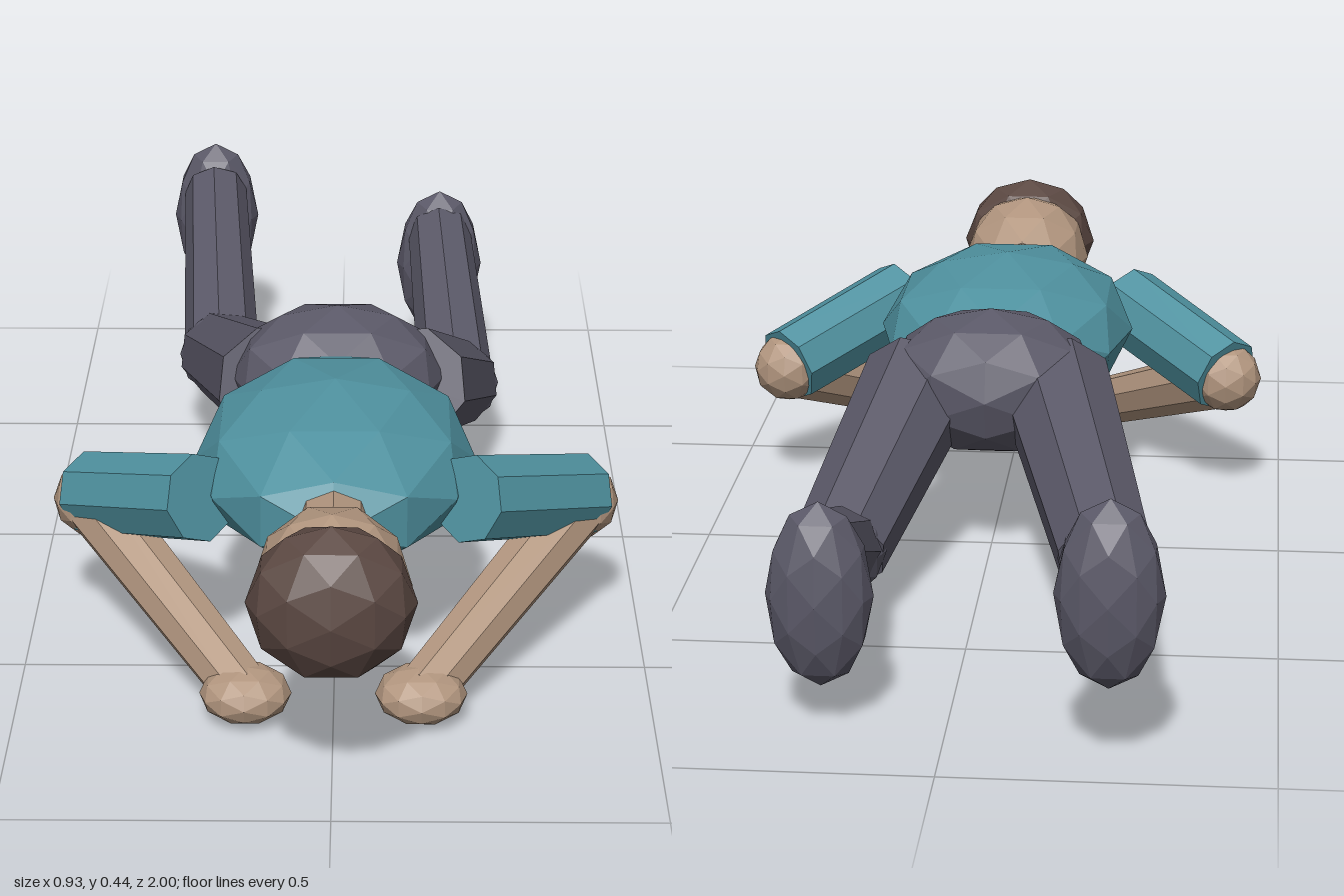
import * as THREE from 'three';

const makeMaterial = (name, color) => {
  const m = new THREE.MeshStandardMaterial({ color, flatShading: true });
  m.name = name;
  return m;
};

export function createModel() {
  const model = new THREE.Group();
  model.name = 'lyingFigure';
  const skin = makeMaterial('skin', 0xb2967f);
  const shirt = makeMaterial('shirt teal', 0x4f919f);
  const trousers = makeMaterial('trousers grey', 0x5a5867);
  const hairBrown = makeMaterial('hair brown', 0x5b4842);

  // Faceted ellipsoid from its centre and three radii
  const blob = (name, material, centre, radii) => {
    const mesh = new THREE.Mesh(new THREE.IcosahedronGeometry(1, 1), material);
    mesh.name = name;
    mesh.position.set(...centre);
    mesh.scale.set(...radii);
    model.add(mesh);
  };

  // Eight-sided tapered limb between two points
  const limb = (name, material, from, to, r0, r1) => {
    const a = new THREE.Vector3(...from);
    const b = new THREE.Vector3(...to);
    const dir = b.clone().sub(a);
    const mesh = new THREE.Mesh(new THREE.CylinderGeometry(r1, r0, dir.length(), 8), material);
    mesh.name = name;
    mesh.position.copy(a).add(b).multiplyScalar(0.5);
    mesh.quaternion.setFromUnitVectors(new THREE.Vector3(0, 1, 0), dir.normalize());
    model.add(mesh);
  };

  // Body and head, face down with the crown towards +z
  blob('torso', shirt, [0, 0.298, 0.34], [0.228, 0.139, 0.31]);
  blob('pelvis', trousers, [0, 0.302, -0.01], [0.185, 0.128, 0.14]);
  limb('neck', skin, [0, 0.3, 0.55], [0, 0.3, 0.75], 0.06, 0.06);
  blob('head', skin, [0, 0.302, 0.825], [0.12, 0.116, 0.15]);
  blob('hair', hairBrown, [0, 0.313, 0.905], [0.127, 0.122, 0.095]);

  // Arms, mirrored
  for (const [side, s] of [['left', 1], ['right', -1]]) {
    const elbow = [s * 0.4, 0.216, 0.32];
    const hand = [s * 0.137, 0.046, 0.68];
    limb(side + 'UpperArm', shirt, [s * 0.21, 0.3, 0.505], [s * 0.4, 0.222, 0.312], 0.072, 0.07);
    blob(side + 'Elbow', skin, elbow, [0.063, 0.063, 0.063]);
    limb(side + 'Forearm', skin, elbow, hand, 0.055, 0.045);
    blob(side + 'Hand', skin, hand, [0.072, 0.045, 0.066]);
  }

  // Legs, bent differently on each side
  const legs = [
    ['left', [0.125, 0.29, 0], [0.215, 0.13, -0.4], [0.19, 0.28, -0.81], [0.19, 0.212, -0.822]],
    ['right', [-0.11, 0.29, 0], [-0.222, 0.155, -0.475], [-0.25, 0.33, -0.91], [-0.25, 0.27, -0.938]],
  ];
  for (const [side, hip, knee, ankle, foot] of legs) {
    limb(side + 'Thigh', trousers, hip, knee, 0.1, 0.08);
    blob(side + 'Knee', trousers, knee, [0.078, 0.078, 0.078]);
    limb(side + 'Shin', trousers, knee, ankle, 0.07, 0.06);
    blob(side + 'Foot', trousers, foot, [0.082, 0.147, 0.062]);
  }
  return model;
}
